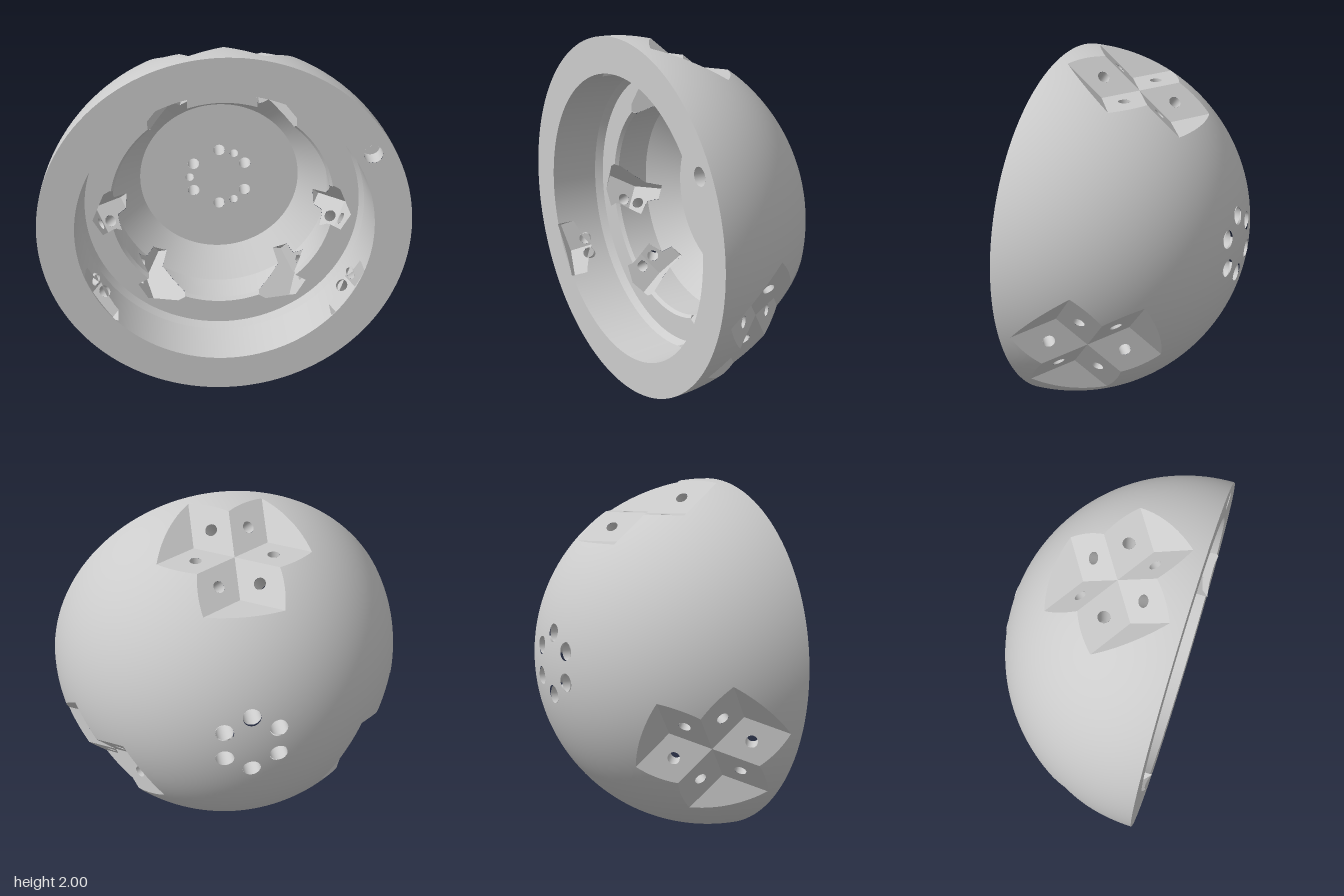
import * as THREE from 'three';

const V = (x, y, z) => new THREE.Vector3(x, y, z);
const along = (p, d, t) => p.clone().addScaledVector(d, t);
const Z = V(0, 0, 1);

// A plane is { n, d }; its inside is n.p > d. A list of planes is a convex cutter.
const plane = (n, p) => ({ n, d: n.dot(p) });

function split(poly, pl) {
  const inn = [], out = [];
  poly.forEach((p, i) => {
    const q = poly[(i + 1) % poly.length];
    const a = pl.n.dot(p) - pl.d, b = pl.n.dot(q) - pl.d;
    (a > 0 ? inn : out).push(p);
    if ((a > 0) !== (b > 0)) {
      const m = p.clone().lerp(q, a / (a - b));
      inn.push(m);
      out.push(m);
    }
  });
  return [inn, out];
}

function subtract(polys, planes) {
  const kept = [];
  for (const poly of polys) {
    if (planes.some(pl => poly.every(p => pl.n.dot(p) <= pl.d + 1e-7))) { kept.push(poly); continue; }
    let rest = poly;
    for (const pl of planes) {
      const [inn, out] = split(rest, pl);
      if (out.length > 2) kept.push(out);
      rest = inn;
      if (rest.length < 3) break;
    }
  }
  return kept;
}

function frame(axis) {
  const u = V(axis.y, axis.z, axis.x).cross(axis).normalize();
  return [u, axis.clone().cross(u)];
}

// Round cutter around an axis
function prism(c, axis, r, n = 24) {
  const [u, v] = frame(axis);
  return Array.from({ length: n }, (_, i) => {
    const a = (i + 0.5) / n * Math.PI * 2;
    const out = u.clone().multiplyScalar(Math.cos(a)).addScaledVector(v, Math.sin(a));
    return plane(out.clone().negate(), along(c, out, r));
  });
}

// Walls of a convex cutter: each plane trimmed by the others
function cutterFaces(planes) {
  return planes.map(pl => {
    const [u, v] = frame(pl.n), c = pl.n.clone().multiplyScalar(pl.d);
    let poly = [[-3, -3], [3, -3], [3, 3], [-3, 3]].map(([s, t]) => along(along(c, u, s), v, t));
    for (const o of planes) if (o !== pl && poly.length) poly = split(poly, o)[0];
    return poly;
  }).filter(p => p.length > 2);
}

// Quads of a surface of revolution about z between two profile points
function band(r1, z1, r2, z2, n = 128) {
  const at = (r, z, i) => V(r * Math.cos(i / n * Math.PI * 2), r * Math.sin(i / n * Math.PI * 2), z);
  return Array.from({ length: n }, (_, i) => {
    const q = [at(r1, z1, i), at(r1, z1, i + 1), at(r2, z2, i + 1), at(r2, z2, i)];
    return r2 === 0 ? q.slice(0, 3) : q;
  });
}

const material = new THREE.MeshStandardMaterial({ color: 0xcccccc });
const thin = new THREE.MeshStandardMaterial({ color: 0xcccccc, side: THREE.DoubleSide });

function polyMesh(name, polys, normalAt) {
  const pos = [], nor = [];
  for (const poly of polys) for (let i = 1; i + 1 < poly.length; i++) {
    const tri = [poly[0], poly[i], poly[i + 1]];
    const f = tri[1].clone().sub(tri[0]).cross(tri[2].clone().sub(tri[0]));
    if (f.lengthSq() < 1e-16) continue;
    const mid = tri[0].clone().add(tri[1]).add(tri[2]).divideScalar(3);
    if (f.dot(normalAt(mid)) < 0) tri.reverse();
    for (const p of tri) { pos.push(...p); nor.push(...normalAt(p)); }
  }
  const g = new THREE.BufferGeometry();
  g.setAttribute('position', new THREE.Float32BufferAttribute(pos, 3));
  g.setAttribute('normal', new THREE.Float32BufferAttribute(nor, 3));
  const mesh = new THREE.Mesh(g, material);
  mesh.name = name;
  return mesh;
}

// Bore wall from a point along an axis, optionally with a flat bottom
function bore(name, c, axis, r, len, bottom = false) {
  const g = new THREE.Group();
  g.name = name;
  g.add(new THREE.Mesh(new THREE.CylinderGeometry(r, r, len, 24, 1, true).translate(0, len / 2, 0), thin));
  if (bottom) g.add(new THREE.Mesh(new THREE.CircleGeometry(r, 24).rotateX(Math.PI / 2).translate(0, len, 0), thin));
  g.position.copy(c);
  g.quaternion.setFromUnitVectors(V(0, 1, 0), axis);
  return g;
}

// Point where a ray from inside meets the unit sphere
function hit(p, dir) {
  const d = dir.clone().normalize(), b = p.dot(d);
  return along(p, d, -b + Math.sqrt(b * b - p.lengthSq() + 1));
}
// Arc of the unit sphere within the plane of normal n, from p to q
function arc(p, q, n) {
  const c = n.clone().multiplyScalar(n.dot(p)), r = p.distanceTo(c);
  return Array.from({ length: 13 }, (_, i) => along(c, p.clone().lerp(q, i / 12).sub(c).normalize(), r));
}

export function createModel() {
  const model = new THREE.Group();
  model.name = 'hemisphereHousing';
  let dome = [], rim = band(0.8, 0, 1, 0), floor = band(0.455, -0.67, 0, -0.67);
  for (let i = 0; i < 40; i++) {
    const a = i / 80 * Math.PI, b = (i + 1) / 80 * Math.PI;
    dome.push(...band(Math.cos(a), -Math.sin(a), i === 39 ? 0 : Math.cos(b), -Math.sin(b)));
  }
  // Stepped cavity wall, front to floor
  const profile = [[0.8, 0], [0.782, -0.27], [0.758, -0.31], [0.62, -0.31], [0.605, -0.33], [0.605, -0.52], [0.455, -0.67]];
  const walls = profile.slice(1).map(([r, z], i) => {
    const [r0, z0] = profile[i], n = new THREE.Vector2(z - z0, r0 - r).normalize();
    return {
      polys: band(r0, z0, r, z),
      normal: p => { const l = Math.hypot(p.x, p.y); return V(p.x / l * n.x, p.y / l * n.x, n.y); },
    };
  });
  const O = V(0, 0, 0), down = Z.clone().negate();
  const cone = prism(O, Z, 1, 48).map(({ n }) => plane(
    n.clone().add(Z).normalize(), V(-n.x * 0.605, -n.y * 0.605, -0.52)));
  const cavity = [
    [...prism(O, Z, 0.785, 64), plane(Z, V(0, 0, -0.31))],
    [...prism(O, Z, 0.605, 64), ...cone, plane(Z, V(0, 0, -0.67))],
  ];

  // Three faceted recesses around the dome, each made of three skewed pockets
  for (let m = 0; m < 3; m++) {
    const turn = v => v.applyAxisAngle(Z, m * Math.PI * 2 / 3);
    const P = turn(V(0, 0.81, -0.4)), out = P.clone().normalize();
    const x = turn(V(1, 0, 0)), e = x.clone().cross(out).normalize();
    const a = [0, 1, 2].map(k => {
      const t = k * Math.PI * 2 / 3;
      return x.clone().multiplyScalar(0.25 * Math.sin(t)).addScaledVector(e, 0.25 * Math.cos(t)).addScaledVector(out, 0.062);
    });
    const w = a.map((v, i) => {
      const n = a[(i + 1) % 3].clone().cross(a[(i + 2) % 3]).normalize();
      return n.dot(v) < 0 ? n.negate() : n;
    });
    const deep = a.map(v => along(P, v, -0.94));
    const recess = new THREE.Group();
    recess.name = 'facetedRecess' + (m + 1);
    model.add(recess);
    for (let i = 0; i < 3; i++) {
      const j = (i + 1) % 3, k = (i + 2) % 3;
      dome = subtract(dome, [plane(w[i], deep[i]), plane(w[j], P), plane(w[k], P)]);
      const end = arc(hit(deep[i], a[j]), hit(deep[i], a[k]), w[i]);
      recess.add(polyMesh('pocketEnd', [[deep[i], ...end]], () => w[i]));

      // Screw seat under the ridge, open to the cavity
      const t = 0.15, u = a[i].clone().normalize(), mid = along(P, a[i], 0.77);
      const g = w[j].clone().add(w[k]).normalize().negate(), s = u.clone().cross(g);
      const seat = [
        ...[w[j], w[k]].map(n => plane(n.clone().negate(), along(P, n, -t))),
        ...[[u, 0.09], [s, 0.16]].flatMap(([n, h]) => [
          plane(n, along(mid, n, -h)), plane(n.clone().negate(), along(mid, n, h))]),
        plane(g.clone().negate(), along(mid, g, 0.42)),
      ];
      for (const wall of walls) wall.polys = subtract(wall.polys, seat);
      const seatFaces = cutterFaces(seat);

      // Two facets beside the ridge, each with a screw hole
      for (const [b, c] of [[j, k], [k, j]]) {
        const N = hit(P, a[i]), T = hit(deep[b], a[i]);
        const centre = P.clone().add(N).add(T).add(deep[b]).multiplyScalar(0.25);
        const hole = prism(centre, w[c], 0.033);
        recess.add(polyMesh('facet', subtract([[P, ...arc(N, T, w[c]), deep[b]]], hole), () => w[c]));
        recess.add(bore('screwHole', centre, w[c].clone().negate(), 0.033, t));
      }
      seat.forEach((pl, q) => {
        let polys = seatFaces[q] ? [seatFaces[q]] : [];
        if (q < 2) {
          const c = q === 0 ? j : k, b = q === 0 ? k : j;
          const centre = P.clone().add(hit(P, a[i])).add(hit(deep[b], a[i])).add(deep[b]).multiplyScalar(0.25);
          polys = subtract(polys, prism(centre, w[c], 0.033));
        }
        for (const cut of cavity) polys = subtract(polys, cut);
        if (polys.length) recess.add(polyMesh('screwSeat', polys, () => pl.n));
      });
    }
  }

  // Ring of counterbored holes through the floor
  for (let i = 0; i < 6; i++) {
    const t = (i + 0.5) * Math.PI / 3, c = V(0.17 * Math.cos(t), 0.17 * Math.sin(t), -0.67);
    floor = subtract(floor, prism(c, Z, 0.033));
    dome = subtract(dome, [plane(down, V(0, 0, -0.5)), ...prism(c, Z, 0.05)]);
    model.add(bore('floorHole', c, down, 0.033, 0.13));
    const back = V(c.x, c.y, -0.8), reach = Math.sqrt(1 - 0.17 * 0.17) - 0.8;
    model.add(bore('counterbore', back, down, 0.05, reach - 0.006));
    const ring = new THREE.Mesh(new THREE.RingGeometry(0.033, 0.05, 24), thin);
    ring.name = 'counterboreStep';
    ring.position.copy(back);
    model.add(ring);
  }
  // Three small blind holes between them
  for (const t of [1, 3, 5]) {
    const c = V(0.17 * Math.cos(t * Math.PI / 3), 0.17 * Math.sin(t * Math.PI / 3), -0.67);
    floor = subtract(floor, prism(c, Z, 0.024));
    model.add(bore('pilotHole', c, down, 0.024, 0.1, true));
  }
  // Blind hole in the rim
  const pin = V(0.77, 0.45, 0);
  rim = subtract(rim, prism(pin, Z, 0.05));
  model.add(bore('rimHole', pin, down, 0.05, 0.1, true));

  model.add(polyMesh('dome', dome, p => p.clone().normalize()));
  model.add(polyMesh('rim', rim, () => Z));
  model.add(polyMesh('cavityFloor', floor, () => Z));
  walls.forEach(wall => model.add(polyMesh('cavityWall', wall.polys, wall.normal)));
  model.position.set(0, 1, 0.5);
  const root = new THREE.Group();
  root.add(model);
  return root;
}
